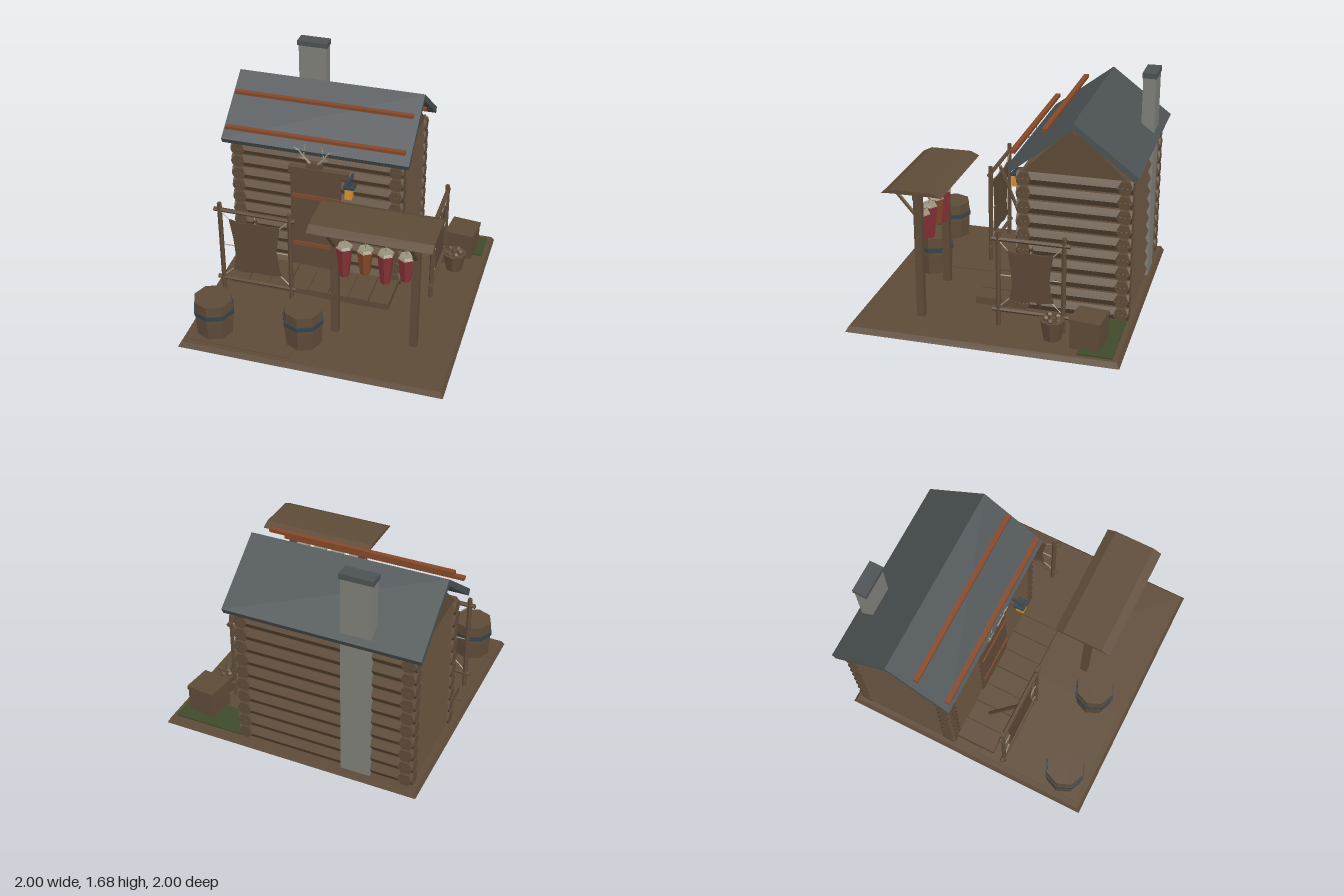
import * as THREE from 'three';

const mat = (name, color) => Object.assign(new THREE.MeshStandardMaterial({ color, flatShading: true }), { name });

export function createModel() {
  const wood = mat('wood', 0x5e4b38), slate = mat('slate', 0x4c5254), stone = mat('stone', 0x80807a),
    rust = mat('rust', 0x84482a), red = mat('meat red', 0x853236), amber = mat('amber glass', 0xd9922f),
    bone = mat('bone', 0x9a937d), grass = mat('grass', 0x3f4a2a), steel = mat('dark steel', 0x36424a);
  const hideMat = mat('hide', 0x5a4836);
  hideMat.side = THREE.DoubleSide;

  const root = new THREE.Group();
  root.name = 'trapperCabin';
  const group = (name, parent = root) => {
    const g = new THREE.Group();
    g.name = name;
    parent.add(g);
    return g;
  };
  const add = (parent, name, geo, m, x = 0, y = 0, z = 0) => {
    const mesh = new THREE.Mesh(geo, m);
    mesh.name = name;
    mesh.position.set(x, y, z);
    parent.add(mesh);
    return mesh;
  };
  // Box from its lower to its upper corner
  const box = (parent, name, m, x0, x1, y0, y1, z0, z1) =>
    add(parent, name, new THREE.BoxGeometry(x1 - x0, y1 - y0, z1 - z0), m, (x0 + x1) / 2, (y0 + y1) / 2, (z0 + z1) / 2);
  // Round bar between two points
  const rod = (parent, name, m, a, b, r, r2 = r, sides = 6) => {
    const A = new THREE.Vector3(...a), B = new THREE.Vector3(...b), d = B.clone().sub(A);
    const mesh = add(parent, name, new THREE.CylinderGeometry(r2, r, d.length(), sides), m);
    mesh.position.copy(A).add(B).multiplyScalar(0.5);
    mesh.quaternion.setFromUnitVectors(new THREE.Vector3(0, 1, 0), d.normalize());
    return mesh;
  };
  // Profile given as [z, y] pairs, extruded along x
  const extrudeX = (parent, name, m, pts, x0, x1) => {
    const shape = new THREE.Shape(pts.map(([z, y]) => new THREE.Vector2(-z, y)));
    const geo = new THREE.ExtrudeGeometry(shape, { depth: x1 - x0, bevelEnabled: false });
    return add(parent, name, geo.rotateY(Math.PI / 2), m, x0);
  };

  // Ground slab with sloping rim, dirt patch and grass
  const slab = new THREE.CylinderGeometry(0.978 * Math.SQRT2, Math.SQRT2, 0.04, 4).rotateY(Math.PI / 4);
  add(root, 'ground', slab, wood, 0, 0.02, 0);
  box(root, 'dirtPatch', wood, -0.94, -0.15, 0.035, 0.046, 0.1, 0.94);
  box(root, 'grassPatch', grass, 0.4, 0.95, 0.035, 0.05, -0.94, -0.69);

  // Log walls
  const walls = group('logWalls');
  const logX = new THREE.CylinderGeometry(0.056, 0.056, 1.36, 6).rotateZ(Math.PI / 2);
  const logZ = new THREE.CylinderGeometry(0.056, 0.056, 0.84, 6, 1, false, Math.PI / 6).rotateX(Math.PI / 2);
  for (let i = 0; i < 10; i++) {
    const y = 0.095 + i * 0.1094;
    for (const z of [-0.165, -0.895]) add(walls, 'longLog', logX, wood, -0.27, y, z);
    for (const x of [-0.895, 0.355]) add(walls, 'sideLog', logZ, wood, x, y, -0.53);
  }
  for (const x of [-0.895, 0.355])
    extrudeX(walls, 'gable', wood, [[-0.16, 1.13], [-0.53, 1.485], [-0.9, 1.13]], x - 0.03, x + 0.03);

  // Roof slopes and battens
  const roof = group('roof');
  for (const s of [1, -1]) {
    const p = [[-0.53, 1.54], [-0.53, 1.49], [-0.53 + s * 0.447, 1.142], [-0.53 + s * 0.47, 1.185]];
    extrudeX(roof, 'roofSlope', slate, p, -1, 0.46);
  }
  for (const [z, y] of [[-0.32, 1.46], [-0.09, 1.28], [-0.545, 1.46], [-0.775, 1.28]])
    box(roof, 'batten', rust, -0.965, 0.425, y - 0.012, y + 0.012, z - 0.019, z + 0.019);

  // Chimney
  const chimney = group('chimney');
  box(chimney, 'stack', stone, -0.635, -0.41, 0.03, 1.645, -0.957, -0.86);
  box(chimney, 'chimneyCap', slate, -0.645, -0.4, 1.64, 1.68, -0.962, -0.855);

  // Door with lintel and straps
  const door = group('door');
  box(door, 'doorPanel', wood, -0.47, -0.07, 0.1, 0.98, -0.13, -0.1);
  box(door, 'lintel', wood, -0.48, -0.01, 0.965, 1.015, -0.15, -0.085);
  for (const y of [0.31, 0.757]) box(door, 'strap', rust, -0.45, -0.07, y - 0.017, y + 0.017, -0.1, -0.092);

  // Antler trophy above the door
  const trophy = group('antlers');
  box(trophy, 'plaque', wood, -0.33, -0.21, 1.03, 1.08, -0.13, -0.07);
  for (const s of [1, -1]) {
    const p = (dx, y, z) => [-0.27 + s * dx, y, z];
    rod(trophy, 'beam', bone, p(0.02, 1.06, -0.08), p(0.08, 1.13, -0.07), 0.01, 0.008, 5);
    rod(trophy, 'beam', bone, p(0.08, 1.13, -0.07), p(0.12, 1.2, -0.06), 0.008, 0.006, 5);
    rod(trophy, 'tine', bone, p(0.12, 1.19, -0.06), p(0.15, 1.215, -0.05), 0.007, 0.003, 5);
    rod(trophy, 'tine', bone, p(0.08, 1.13, -0.07), p(0.065, 1.235, -0.07), 0.007, 0.003, 5);
    rod(trophy, 'tine', bone, p(0.05, 1.1, -0.08), p(0.11, 1.13, -0.06), 0.007, 0.003, 5);
  }

  // Lantern on its bracket
  const lantern = group('lantern');
  box(lantern, 'bracket', steel, 0.01, 0.03, 0.99, 1.01, -0.13, 0);
  box(lantern, 'lanternCap', steel, -0.02, 0.068, 0.955, 0.975, -0.06, 0.022);
  box(lantern, 'lanternTop', steel, 0.005, 0.04, 0.975, 0.992, -0.035, 0.005);
  box(lantern, 'glass', amber, -0.005, 0.048, 0.865, 0.955, -0.045, 0.015);

  // Porch planks
  const porch = group('porch');
  for (let i = 0; i < 8; i++) {
    const x = -0.89 + i * 0.1615;
    box(porch, 'plank', wood, x, x + 0.155, 0.04, 0.1 - (i % 2) * 0.005, -0.12, 0.2);
  }

  // Hide-stretching frames, built in the XY plane around x = 0
  const makeFrame = (name, w, top, hw, hideTop, braceEnd) => {
    const g = group(name), rail = top - 0.058, mid = (hideTop + 0.24) / 2, hh = (hideTop - 0.24) / 2;
    for (const s of [-1, 1]) rod(g, 'post', wood, [s * w, 0.04, 0], [s * w, top, 0], 0.018);
    for (const y of [rail, 0.165]) rod(g, 'rail', wood, [-w - 0.045, y, 0], [w + 0.045, y, 0], 0.017);
    rod(g, 'brace', wood, [0, top - 0.1, 0], [0, 0.09, braceEnd], 0.015);
    const outline = [[-1, 1], [-0.55, 0.92], [0, 0.97], [0.5, 0.94], [0.95, 1], [0.86, 0.5], [0.8, 0.05],
      [0.85, -0.5], [0.98, -0.88], [0.5, -0.95], [0, -0.92], [-0.5, -1], [-0.92, -0.92], [-0.8, -0.4], [-0.86, 0.3]];
    const shape = new THREE.Shape(outline.map(([x, y]) => new THREE.Vector2(x * hw, mid + y * hh)));
    add(g, 'hide', new THREE.ExtrudeGeometry(shape, { depth: 0.012, bevelEnabled: false }), hideMat, 0, 0, -0.006);
    for (const s of [-1, 1]) {
      rod(g, 'lace', bone, [s * hw * 0.95, mid + hh * 0.95, 0], [s * w, rail - 0.01, 0], 0.005, 0.005, 4);
      rod(g, 'lace', bone, [s * hw * 0.92, mid - hh * 0.9, 0], [s * w, 0.18, 0], 0.005, 0.005, 4);
      rod(g, 'lace', bone, [s * hw * 0.8, mid, 0], [s * w, mid, 0], 0.005, 0.005, 4);
    }
    rod(g, 'lace', bone, [0, mid + hh * 0.95, 0], [0, rail, 0], 0.005, 0.005, 4);
    return g;
  };
  makeFrame('frontHideFrame', 0.275, 0.85, 0.205, 0.715, -0.27).position.set(-0.62, 0, 0.3);
  const sideFrame = makeFrame('sideHideFrame', 0.238, 0.775, 0.17, 0.635, -0.25);
  sideFrame.position.set(0.67, 0, -0.292);
  sideFrame.rotation.y = Math.PI / 2;

  // Drying shelter with hanging meat
  const shelter = group('dryingShelter');
  for (const x of [0.075, 0.675]) {
    box(shelter, 'shelterPost', wood, x - 0.028, x + 0.028, 0.04, 1.04, 0.502, 0.558);
    rod(shelter, 'shelterBrace', wood, [x, 0.83, 0.55], [x, 1.04, 0.73], 0.015);
  }
  box(shelter, 'crossBeam', wood, 0.02, 0.735, 0.967, 1.012, 0.507, 0.553);
  extrudeX(shelter, 'canopy', wood, [[0.745, 1.038], [0.68, 1.07], [0.37, 1.07], [0.305, 1.04], [0.37, 1.042], [0.68, 1.042]], -0.07, 0.825);
  [[0.145, 0.57, red], [0.3, 0.62, rust], [0.45, 0.57, red], [0.6, 0.62, red]].forEach(([x, y, m]) => {
    rod(shelter, 'hangingCord', bone, [x, 0.83, 0.53], [x, 0.98, 0.53], 0.004, 0.004, 4);
    add(shelter, 'meat', new THREE.CylinderGeometry(0.062, 0.038, 0.82 - y, 6), m, x, (0.82 + y) / 2, 0.53);
    add(shelter, 'meatCap', new THREE.CylinderGeometry(0.05, 0.064, 0.02, 6), bone, x, 0.826, 0.53);
  });

  // Barrels
  for (const [x, z] of [[-0.79, 0.77], [-0.12, 0.7]]) {
    const g = group('barrel');
    g.position.set(x, 0.04, z);
    const profile = [[0, 0], [0.14, 0], [0.15, 0.15], [0.146, 0.3], [0, 0.3]].map(p => new THREE.Vector2(...p));
    add(g, 'barrelBody', new THREE.LatheGeometry(profile, 8), wood);
    add(g, 'hoop', new THREE.CylinderGeometry(0.157, 0.157, 0.035, 8), steel, 0, 0.202, 0);
  }

  // Crate
  const crate = group('crate');
  crate.position.set(0.776, 0.04, -0.74);
  crate.rotation.y = -0.11;
  box(crate, 'crateBody', wood, -0.108, 0.108, 0, 0.2, -0.108, 0.108);
  box(crate, 'crateLid', wood, -0.114, 0.114, 0.195, 0.225, -0.114, 0.114);

  // Basket filled with lumps
  const basket = group('basket');
  basket.position.set(0.765, 0.04, -0.475);
  add(basket, 'basketBody', new THREE.CylinderGeometry(0.092, 0.065, 0.15, 8), wood, 0, 0.075, 0);
  for (let i = 0; i < 6; i++) {
    const a = i * 1.256, r = i < 5 ? 0.05 : 0;
    const lump = add(basket, 'lump', new THREE.DodecahedronGeometry(0.026), wood, Math.cos(a) * r, 0.158, Math.sin(a) * r);
    lump.rotation.set(i, i * 2, 0);
  }
  return root;
}
